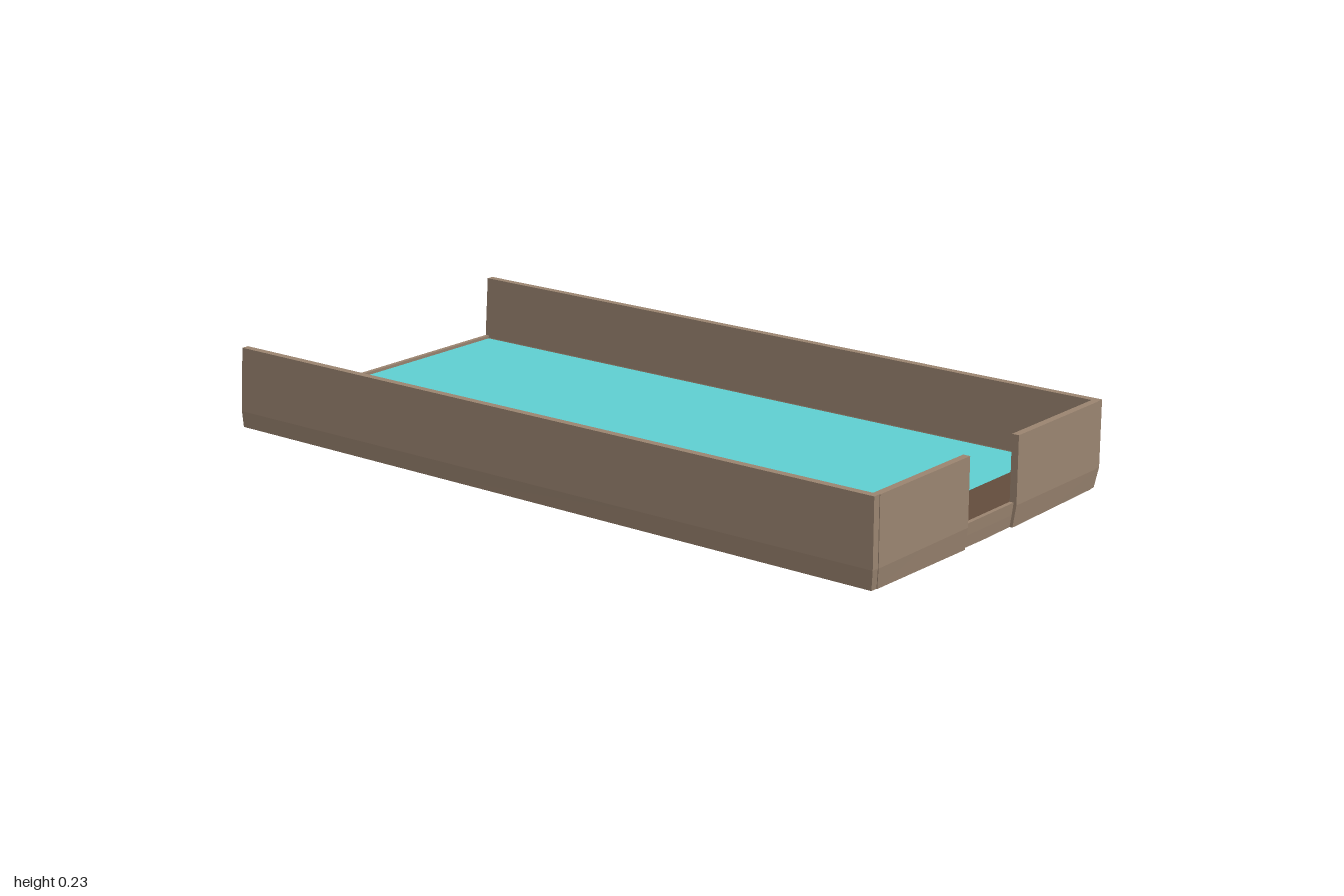
import * as THREE from 'three';

export function createModel() {
  const model = new THREE.Group();
  model.name = 'poolTray';
  const stone = new THREE.MeshStandardMaterial({ color: 0x9a8470 });
  stone.name = 'stone';
  const water = new THREE.MeshStandardMaterial({ color: 0x5fcfd1 });
  water.name = 'water';
  const wood = new THREE.MeshStandardMaterial({ color: 0x634d3d });
  wood.name = 'darkBrown';

  const BEND = 0.0575; // height below which the outside tapers inward

  // Gentle taper of the ends and sides, and a slightly sloped, keeled underside
  function warp(geometry) {
    const p = geometry.attributes.position;
    for (let i = 0; i < p.count; i++) {
      let x = p.getX(i), y = p.getY(i), z = p.getZ(i);
      if (x < -0.9) x += 0.015 * y / 0.23;
      const low = Math.max(0, (BEND - y) / BEND);
      if (x > 0.9) x -= 0.008 * low;
      z *= 1 - 0.017 * low;
      if (y < 0.001) y = 0.006 * Math.abs(z) / 0.478 + 0.003 * (1 - x);
      p.setXYZ(i, x, y, z);
    }
    const flat = geometry.toNonIndexed();
    flat.computeVertexNormals();
    return flat;
  }

  function block(name, material, [x0, x1], [y0, y1], [z0, z1], segments = [1, 1, 1]) {
    const g = new THREE.BoxGeometry(x1 - x0, y1 - y0, z1 - z0, ...segments);
    g.translate((x0 + x1) / 2, (y0 + y1) / 2, (z0 + z1) / 2);
    const mesh = new THREE.Mesh(warp(g), material);
    mesh.name = name;
    model.add(mesh);
  }

  const TOP = 0.23, OUT = 0.485, IN = 0.465;

  // Floor slab and the low lip at the open end
  block('floor', stone, [-0.988, 0.975], [0, 0.045], [-IN, IN], [3, 1, 4]);
  block('openEndLip', stone, [-1, -0.988], [0, 0.063], [-IN, IN], [1, 1, 4]);

  // Long side walls, and the end wall split by a central gap
  for (const s of [1, -1]) {
    const span = (a, b) => (s > 0 ? [a, b] : [-b, -a]);
    const side = s > 0 ? 'front' : 'back';
    block(side + 'Wall', stone, [-1, 0.992], [0, TOP], span(IN, OUT), [3, 4, 1]);
    block(side + 'EndWall', stone, [0.975, 0.994], [0, TOP], span(0.104, IN), [1, 4, 2]);
  }
  block('gapSill', stone, [0.975, 0.986], [0, 0.063], [-0.104, 0.104], [1, 2, 2]);

  // Water sheet and the dark shelf beside the gap
  block('water', water, [-0.988, 0.845], [0.045, 0.055], [-IN, IN]);
  block('shelf', wood, [0.845, 0.975], [0.045, 0.058], [-IN, IN]);

  return model;
}
